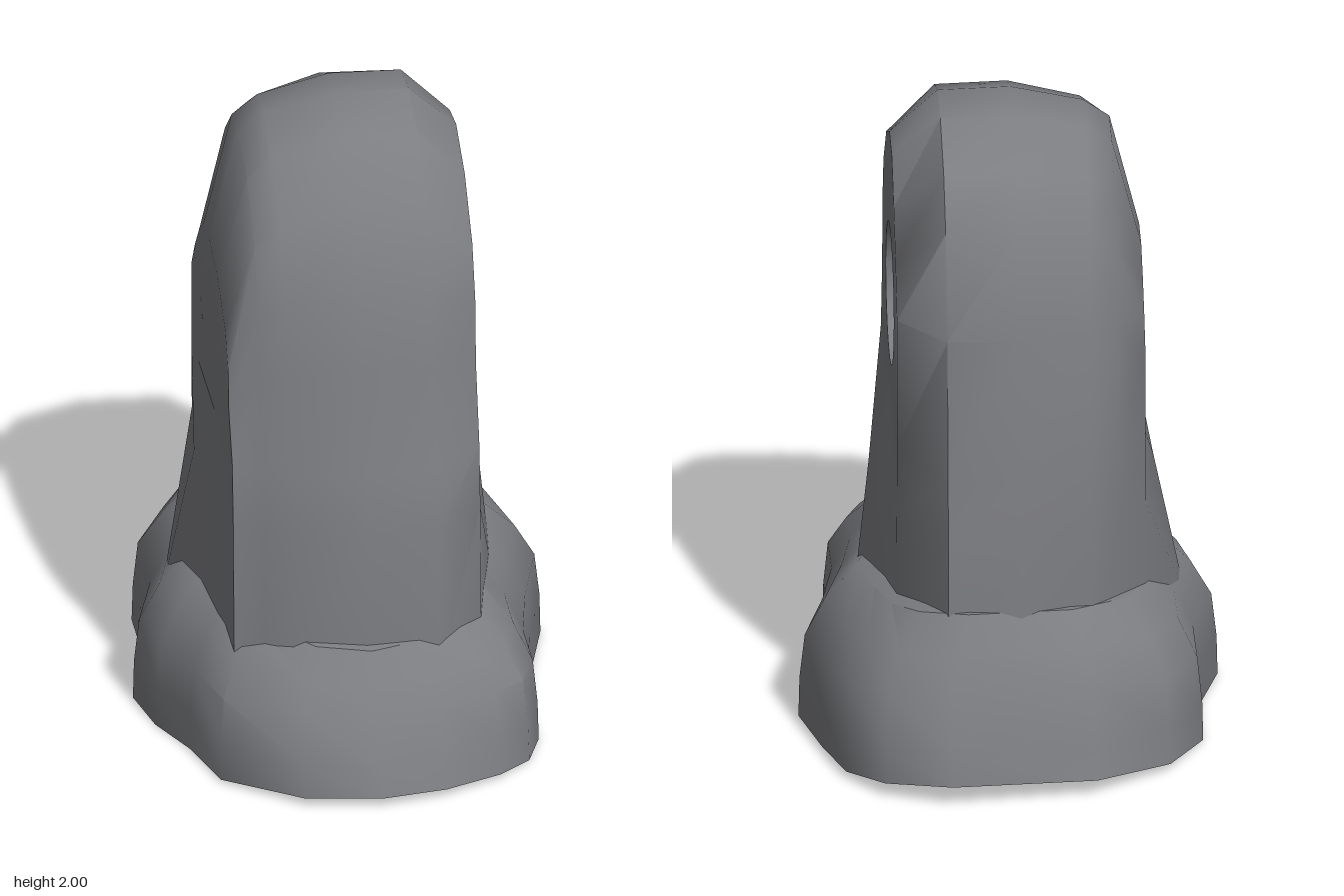
import * as THREE from 'three';
import { mergeGeometries, toCreasedNormals } from 'three/addons/utils/BufferGeometryUtils.js';

// Surface through rows of [x, y, z] points; faces towards (row step) x (point step)
function skin(rows) {
  const pos = [];
  for (let i = 0; i < rows.length - 1; i++) {
    for (let j = 0; j < rows[i].length - 1; j++) {
      const a = rows[i][j], b = rows[i + 1][j], c = rows[i + 1][j + 1], d = rows[i][j + 1];
      pos.push(...a, ...b, ...c, ...a, ...c, ...d);
    }
  }
  const g = new THREE.BufferGeometry();
  g.setAttribute('position', new THREE.Float32BufferAttribute(pos, 3));
  return g;
}

function joinCreased(parts, angle) {
  const plain = parts.map((p) => {
    const g = p.index ? p.toNonIndexed() : p;
    g.deleteAttribute('uv');
    g.deleteAttribute('normal');
    return g;
  });
  const g = mergeGeometries(plain);
  g.computeVertexNormals();
  return toCreasedNormals(g, angle);
}

// Arch outlines as [z, y], running front, top, back
const ARCH = [[0.61, 0.3], [0.6, 0.8], [0.56, 0.98], [0.49, 1.3], [0.45, 1.52], [0.33, 1.77], [0.17, 1.94],
  [0, 2], [-0.16, 1.98], [-0.35, 1.88], [-0.46, 1.73], [-0.56, 1.41], [-0.585, 0.95], [-0.62, 0.77], [-0.63, 0.3]];
const RIGHT = [[0.5, 0.3], [0.48, 0.8], [0.46, 1], [0.39, 1.25], [0.38, 1.45], [0.32, 1.62], [0.17, 1.78],
  [0, 1.86], [-0.13, 1.84], [-0.24, 1.72], [-0.33, 1.58], [-0.41, 1.42], [-0.41, 1], [-0.4, 0.77], [-0.39, 0.3]];
// The left face ends lower, under a rounded shoulder, and is narrower at the back
const LEFT = RIGHT.map(([z, y]) => [z < 0 ? z * 0.85 : z, y > 1 ? 1 + (y - 1) * 0.62 : y]);

// Footprint of the base as [x, z]
const FOOT = [[0, 0.86], [0.2, 0.82], [0.38, 0.73], [0.48, 0.64], [0.53, 0.5], [0.53, 0.3], [0.57, 0.08],
  [0.64, -0.18], [0.58, -0.42], [0.52, -0.63], [0.41, -0.77], [0.21, -0.86], [-0.23, -0.8], [-0.46, -0.63],
  [-0.57, -0.43], [-0.57, -0.18], [-0.64, 0.05], [-0.6, 0.23], [-0.52, 0.4], [-0.46, 0.62], [-0.23, 0.81]];

const HOLE = { y: 1.33, z: -0.02, r: 0.22, floorR: 0.207, floorX: 0.25 };
const RIGHT_X = 0.355, LEFT_X = -0.4;

const section = (x, outline) => outline.map(([z, y]) => [x, y, z]);
const blend = (t) => ARCH.map(([z, y], j) => [
  THREE.MathUtils.lerp(z, RIGHT[j][0], t), THREE.MathUtils.lerp(y, RIGHT[j][1], t)]);

// Lower part of a side face, swelling outwards towards the base
function lowerSide(outline, edgeX, middleX, sign) {
  const rows = [0, 1, 2].map((k) => {
    const f = outline[k], b = outline[14 - k];
    const row = [[edgeX, b[1], b[0]], [middleX[k], (f[1] + b[1]) / 2, -0.04], [edgeX, f[1], f[0]]];
    return sign > 0 ? row : row.reverse();
  });
  return skin(rows);
}

// Upper part of a side face, flat in the zy plane
function upperSide(outline, x, sign, holes) {
  const shape = new THREE.Shape(outline.slice(2, 13).map(([z, y]) => new THREE.Vector2(-sign * z, y)));
  shape.holes.push(...holes);
  return new THREE.ShapeGeometry(shape, 10).rotateY(sign * Math.PI / 2).translate(x, 0, 0);
}

function bodyGeometry() {
  const hole = new THREE.Path();
  hole.absarc(-HOLE.z, HOLE.y, HOLE.r, 0, Math.PI * 2, true);
  return joinCreased([
    skin([section(LEFT_X, LEFT), section(-0.31, blend(0.75)), section(-0.23, blend(0.35)),
      section(-0.01, ARCH), section(0.21, blend(0.04)), section(RIGHT_X, RIGHT)]),
    upperSide(RIGHT, RIGHT_X, 1, [hole]),
    upperSide(LEFT, LEFT_X, -1, []),
    lowerSide(RIGHT, RIGHT_X, [0.47, 0.42, RIGHT_X], 1),
    lowerSide(LEFT, LEFT_X, [-0.54, -0.44, LEFT_X], -1),
  ], 0.8);
}

function baseGeometry() {
  // Rings as [x scale, z scale, taper of the ends, height, lift of the ends, rise towards the back]
  const rings = [[0, 0, 0, 0, 0, 0], [0.88, 0.84, 0, 0, 0.01, 0], [1, 1, 0, 0.002, 0.05, 0.018],
    [0.995, 0.99, 0.03, 0.13, 0.01, 0.02], [0.97, 0.98, 0.11, 0.27, 0.04, 0.04],
    [0.87, 0.86, 0.05, 0.385, 0, 0.05], [0.72, 0.74, 0, 0.48, 0, 0.06], [0.5, 0.5, 0, 0.5, 0, 0.04]];
  const loop = [...FOOT, FOOT[0]].reverse();
  return joinCreased([skin(rings.map(([sx, sz, taper, h, lift, rise]) => loop.map(([x, z]) => {
    const end = z / 0.86;
    return [x * sx, Math.max(0, h + lift * end ** 4 - rise * end ** 3), z * (sz - taper * end ** 4)];
  })))], 0.7);
}

// Round wall of the recess, facing inwards
function recessGeometry() {
  const ring = (x, r) => Array.from({ length: 21 }, (_, k) => {
    const a = k / 20 * Math.PI * 2;
    return [x, HOLE.y + Math.sin(a) * r, HOLE.z - Math.cos(a) * r];
  });
  return joinCreased([skin([ring(HOLE.floorX, HOLE.floorR), ring(RIGHT_X, HOLE.r)])], 0.8);
}

export function createModel() {
  const group = new THREE.Group();
  group.name = 'standingStone';
  const stone = new THREE.MeshStandardMaterial({ name: 'grey stone', color: 0x7c7d81 });
  const amber = new THREE.MeshStandardMaterial({ name: 'amber', color: 0xc9832e });

  const add = (name, geometry, material) => {
    const mesh = new THREE.Mesh(geometry, material);
    mesh.name = name;
    group.add(mesh);
    return mesh;
  };
  add('stoneBody', bodyGeometry(), stone);
  add('stoneBase', baseGeometry(), stone);
  add('recessWall', recessGeometry(), stone);

  // Amber disc at the bottom of the recess
  const disc = add('amberDisc', new THREE.CircleGeometry(HOLE.floorR, 20).rotateY(Math.PI / 2), amber);
  disc.position.set(HOLE.floorX, HOLE.y, HOLE.z);
  return group;
}
